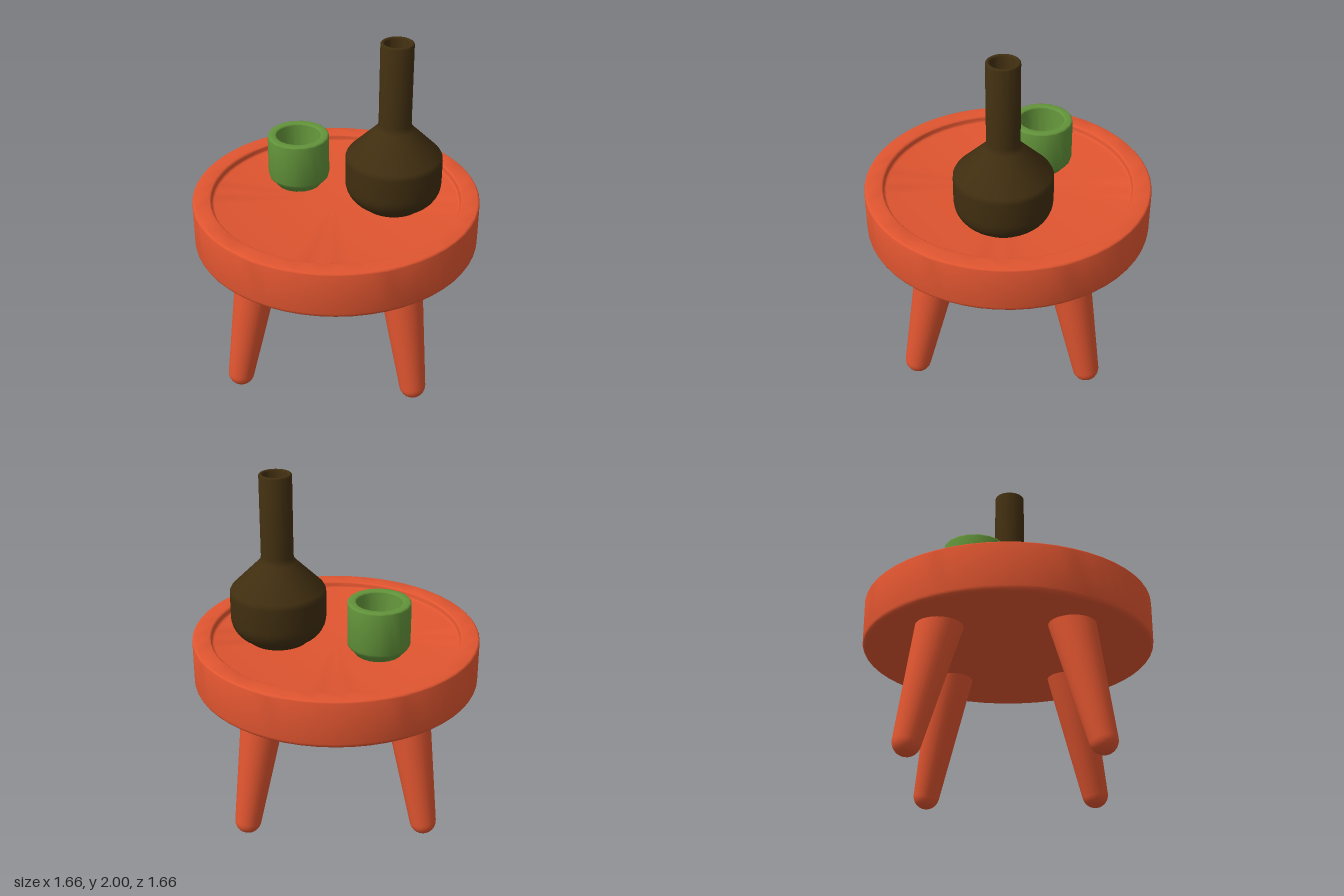
import * as THREE from 'three';
import { toCreasedNormals } from 'three/addons/utils/BufferGeometryUtils.js';

const paint = (name, color) => {
  const m = new THREE.MeshStandardMaterial({ color });
  m.name = name;
  return m;
};

// Points of a rounded corner: centre (x, y), radius r, from angle a to b in degrees
function arc(x, y, r, a, b, n = 5) {
  return Array.from({ length: n + 1 }, (_, i) => {
    const t = THREE.MathUtils.degToRad(a + ((b - a) * i) / n);
    return [Math.max(0, x + r * Math.cos(t)), y + r * Math.sin(t)];
  });
}

// Turned part: smooth surface with sharp edges kept; profile runs from the underside up and inwards
function turned(name, profile, segments, material) {
  const lathe = new THREE.LatheGeometry(profile.map(([x, y]) => new THREE.Vector2(x, y)), segments);
  const mesh = new THREE.Mesh(toCreasedNormals(lathe, 0.6), material);
  mesh.name = name;
  return mesh;
}

export function createModel() {
  const group = new THREE.Group();
  group.name = 'trayTable';
  const red = paint('terracotta red', 0xe05530);
  const green = paint('leaf green', 0x62933a);
  const brown = paint('dark brown', 0x402e10);

  // Round top with a raised rim and a shallow recess
  group.add(turned('tableTop', [
    [0, 0.765],
    ...arc(0.8, 0.795, 0.03, -90, 0),
    ...arc(0.815, 1.035, 0.015, 0, 90),
    ...arc(0.735, 1.035, 0.015, 90, 180),
    ...arc(0.705, 1.027, 0.015, 0, -90, 4),
    [0, 1.012],
  ], 56, red));

  // Four splayed, tapered legs with round feet
  const legs = new THREE.Group();
  legs.name = 'legs';
  const up = new THREE.Vector3(0, 1, 0);
  for (const sx of [-1, 1]) {
    for (const sz of [-1, 1]) {
      const foot = new THREE.Vector3(sx * 0.505, 0.076, sz * 0.497);
      const axis = new THREE.Vector3(sx * 0.4, 0.77, sz * 0.36).sub(foot);
      const length = axis.length();
      const leg = turned('leg', [
        ...arc(0, 0, 0.076, -90, -4, 8),
        [0.129, length],
        [0.131, length + 0.03],
      ], 28, red);
      leg.position.copy(foot);
      leg.quaternion.setFromUnitVectors(up, axis.normalize());
      legs.add(leg);
    }
  }
  group.add(legs);

  // Long-necked bottle, hollow inside
  const bottle = turned('bottle', [
    [0, 1.012],
    [0.175, 1.012],
    ...arc(0.135, 1.16, 0.14, -68, 0, 7),
    [0.275, 1.3],
    [0.274, 1.315],
    [0.266, 1.33],
    [0.106, 1.49],
    [0.096, 1.505],
    [0.092, 1.525],
    ...arc(0.082, 1.99, 0.01, 0, 90, 4),
    ...arc(0.08, 1.99, 0.01, 90, 180, 4),
    [0.068, 1.5],
    [0.068, 1.1],
    [0, 1.1],
  ], 40, brown);
  bottle.position.x = 0.33;
  group.add(bottle);

  // Thick-walled cup with a chamfered base
  const cup = turned('cup', [
    [0, 1.012],
    [0.135, 1.012],
    [0.165, 1.05],
    [0.175, 1.06],
    [0.18, 1.075],
    ...arc(0.17, 1.315, 0.01, 0, 90, 3),
    ...arc(0.14, 1.315, 0.01, 90, 180, 3),
    [0.127, 1.11],
    [0.115, 1.09],
    [0, 1.09],
  ], 18, green);
  cup.position.set(-0.242, 0, -0.18);
  group.add(cup);

  return group;
}
